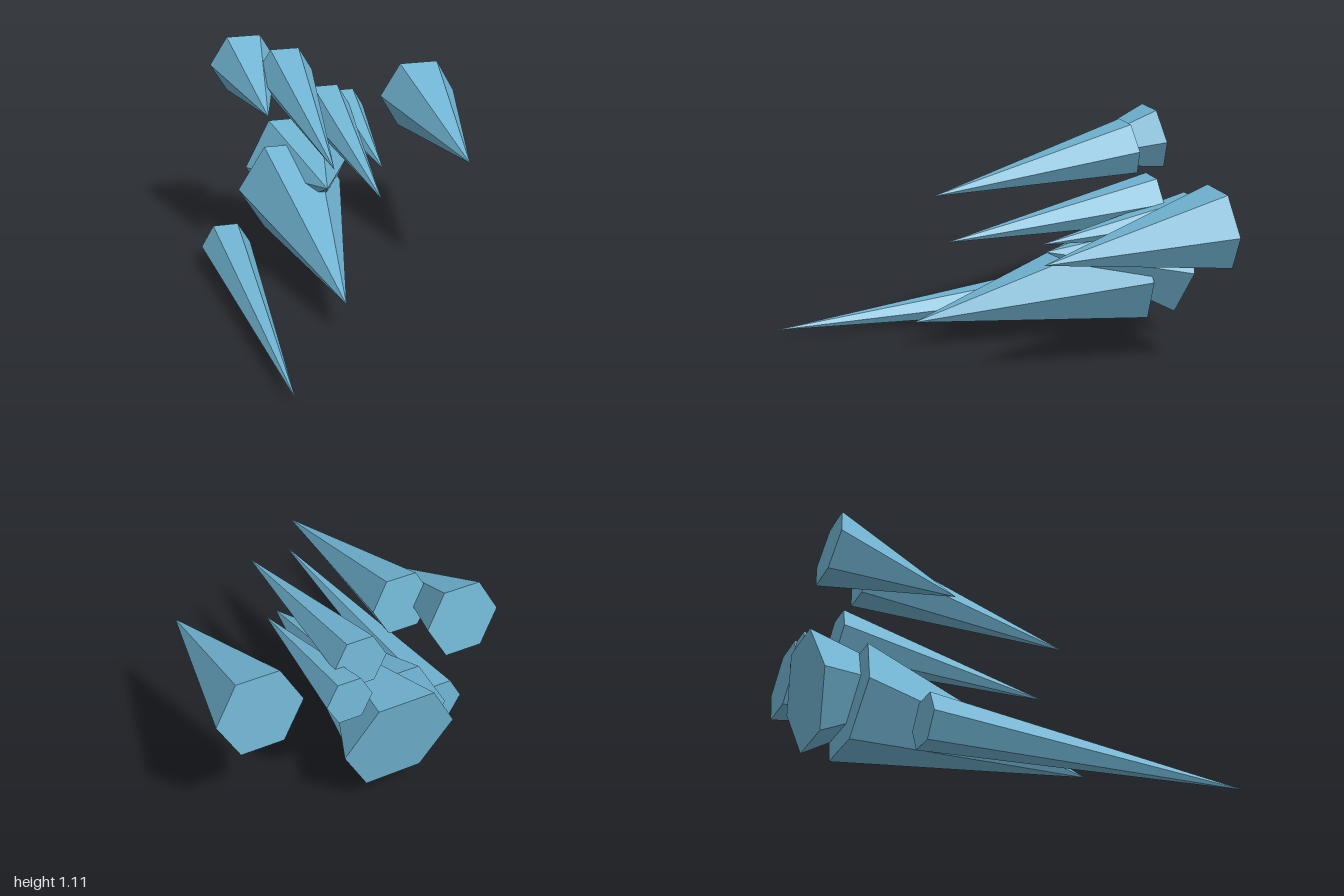
import * as THREE from 'three';

// Each spike: x, base centre y and z, tip y and z, base radius
const SPIKES = [
  ['lowerSpike', -0.602, 0.113, -0.582, 0.057, 1.0, 0.126],
  ['largeFrontSpike', -0.215, 0.325, -0.787, 0.16, 0.38, 0.275],
  ['largeRearSpike', -0.135, 0.38, -0.964, 0.48, -0.28, 0.28],
  ['sideSpike', 0.52, 0.74, -0.892, 0.64, -0.025, 0.205],
  ['upperRearSpike', -0.408, 0.96, -0.972, 0.855, -0.36, 0.175],
  ['upperFrontSpike', -0.238, 0.96, -0.758, 0.787, 0.27, 0.146],
  ['middleSpike', -0.015, 0.745, -0.8, 0.62, 0.27, 0.13],
  ['smallSpike', 0.117, 0.685, -0.94, 0.604, -0.158, 0.112],
];

export function createModel() {
  const group = new THREE.Group();
  group.name = 'iceSpikes';
  const ice = new THREE.MeshStandardMaterial({ color: 0x70b4d2, flatShading: true });
  ice.name = 'iceBlue';

  // Six-sided pyramids flying forward, flat edges at top and bottom
  for (const [name, x, baseY, baseZ, tipY, tipZ, radius] of SPIKES) {
    const base = new THREE.Vector3(x, baseY, baseZ);
    const tip = new THREE.Vector3(x, tipY, tipZ);
    const axis = tip.clone().sub(base);
    const geometry = new THREE.ConeGeometry(radius, axis.length(), 6, 1, false, Math.PI / 2);
    const spike = new THREE.Mesh(geometry, ice);
    spike.name = name;
    spike.position.copy(base).add(tip).multiplyScalar(0.5);
    spike.quaternion.setFromUnitVectors(new THREE.Vector3(0, 1, 0), axis.normalize());
    group.add(spike);
  }
  return group;
}
